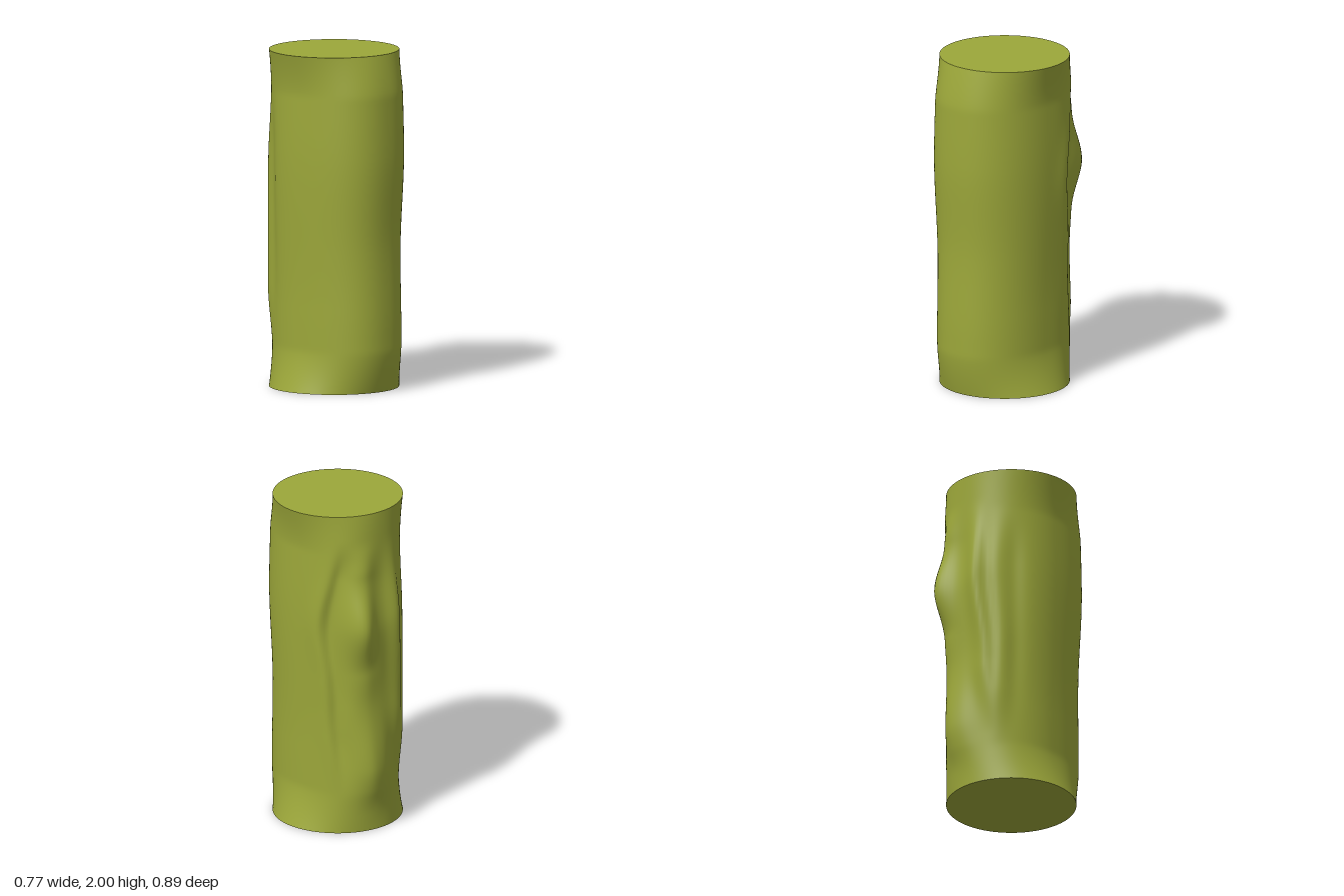
import * as THREE from 'three';
import { mergeVertices } from 'three/addons/utils/BufferGeometryUtils.js';

const END_RADIUS = 0.383;
const HEIGHT = 2;

// Smooth interpolation through [height, value] pairs, heights rising
function track(points, y) {
  if (y <= points[0][0]) return points[0][1];
  for (let i = 1; i < points.length; i++) {
    const [y1, v1] = points[i];
    if (y <= y1) {
      const [y0, v0] = points[i - 1];
      return v0 + (v1 - v0) * THREE.MathUtils.smoothstep(y, y0, y1);
    }
  }
  return points[points.length - 1][1];
}

// Half-widths of the trunk: sides, front and back
const SIDE = [[0, 0.32], [0.5, 0.322], [1.4, 0.345], [2, 0.335]];
const FRONT = [[0, 0.43], [0.35, 0.43], [0.85, 0.418], [1.4, 0.441], [2, 0.43]];
const BACK = 0.385;

// How square each quarter of the cross-section is (2 is an ellipse)
const FULLNESS = { frontRight: 2.45, frontLeft: 2.12, backRight: 2.05, backLeft: 2.7 };

// Bark ridges: angle from the back (positive towards +x), raised amount, width on each flank
const RIDGES = [
  { angle: [[0.2, 0.3], [0.8, 0.36], [1.35, 0.43], [1.9, 0.38]],
    lift: [[0.1, 0], [0.4, 0.035], [0.8, 0.012], [1.0, 0.02], [1.3, 0.088], [1.62, 0.025], [1.85, 0]],
    minus: 0.12, plus: 0.16 },
  { angle: [[0.2, 0.08], [0.8, 0.12], [1.5, 0.15]],
    lift: [[0, 0], [0.4, 0.035], [0.85, 0.008], [1.25, 0.025], [1.6, 0]], minus: 0.14, plus: 0.16 },
  { angle: [[0.4, -0.36], [0.8, -0.3], [1.35, -0.18], [1.8, -0.16]],
    lift: [[0.3, 0], [0.75, 0.03], [1.3, 0.052], [1.85, 0]], minus: 0.08, plus: 0.12 },
  { angle: [[0.3, -0.5], [0.9, -0.55], [1.4, -0.45], [1.8, -0.48]],
    lift: [[0.2, 0], [0.6, 0.025], [1.3, 0.02], [1.8, 0]], minus: 0.12, plus: 0.1 },
  { angle: [[0.25, 0.8], [0.7, 0.96], [0.95, 0.98], [1.27, 1.12], [1.8, 0.85]],
    lift: [[0.2, 0], [0.6, 0.008], [1.27, 0.012], [1.85, 0]], minus: 0.07, plus: 0.14 },
  // Shallow valleys
  { angle: [[0.25, 0.68], [0.8, 0.8], [1.27, 0.92], [1.8, 0.7]],
    lift: [[0.2, 0], [0.6, -0.022], [1.27, -0.034], [1.6, -0.025], [1.85, 0]], minus: 0.13, plus: 0.08 },
  { angle: [[0.3, -0.74], [1.4, -0.76]],
    lift: [[0.3, 0], [0.9, -0.012], [1.4, -0.014], [1.8, 0]], minus: 0.12, plus: 0.1 },
];

function trunkRadius(angle, y) {
  const atBack = Math.cos(angle) > 0;
  const p = FULLNESS[(atBack ? 'back' : 'front') + (angle > 0 ? 'Left' : 'Right')];
  const across = Math.abs(Math.sin(angle)) / track(SIDE, y);
  const along = Math.abs(Math.cos(angle)) / (atBack ? BACK : track(FRONT, y));
  let r = (across ** p + along ** p) ** (-1 / p);
  for (const ridge of RIDGES) {
    const d = angle - track(ridge.angle, y);
    const width = d < 0 ? ridge.minus : ridge.plus;
    r += track(ridge.lift, y) * Math.exp(-0.5 * (d / width) ** 2);
  }
  // Ease into the round cut ends
  const end = Math.min(1, Math.min(y, HEIGHT - y) / 0.25);
  const blend = 1 - (1 - end) ** 1.4;
  return END_RADIUS + (r - END_RADIUS) * blend;
}

export function createModel() {
  const group = new THREE.Group();
  group.name = 'log';
  const bark = new THREE.MeshStandardMaterial({ color: 0x9ca73a });
  bark.name = 'olive bark';

  // Trunk: an open cylinder pushed out by the bark ridges
  let geo = new THREE.CylinderGeometry(1, 1, HEIGHT, 144, 100, true);
  geo.deleteAttribute('uv');
  geo.deleteAttribute('normal');
  geo = mergeVertices(geo, 1e-4);
  const pos = geo.attributes.position;
  for (let i = 0; i < pos.count; i++) {
    const x = pos.getX(i), z = pos.getZ(i), y = pos.getY(i) + HEIGHT / 2;
    const r = trunkRadius(Math.atan2(x, -z), y);
    pos.setXYZ(i, x * r, y, z * r);
  }
  geo.computeVertexNormals();
  const trunk = new THREE.Mesh(geo, bark);
  trunk.name = 'trunk';
  group.add(trunk);

  // Cut ends
  for (const [name, y, turn] of [['topCut', HEIGHT, -1], ['bottomCut', 0, 1]]) {
    const cut = new THREE.Mesh(new THREE.CircleGeometry(END_RADIUS, 144), bark);
    cut.name = name;
    cut.rotation.x = turn * Math.PI / 2;
    cut.position.y = y;
    group.add(cut);
  }
  return group;
}
